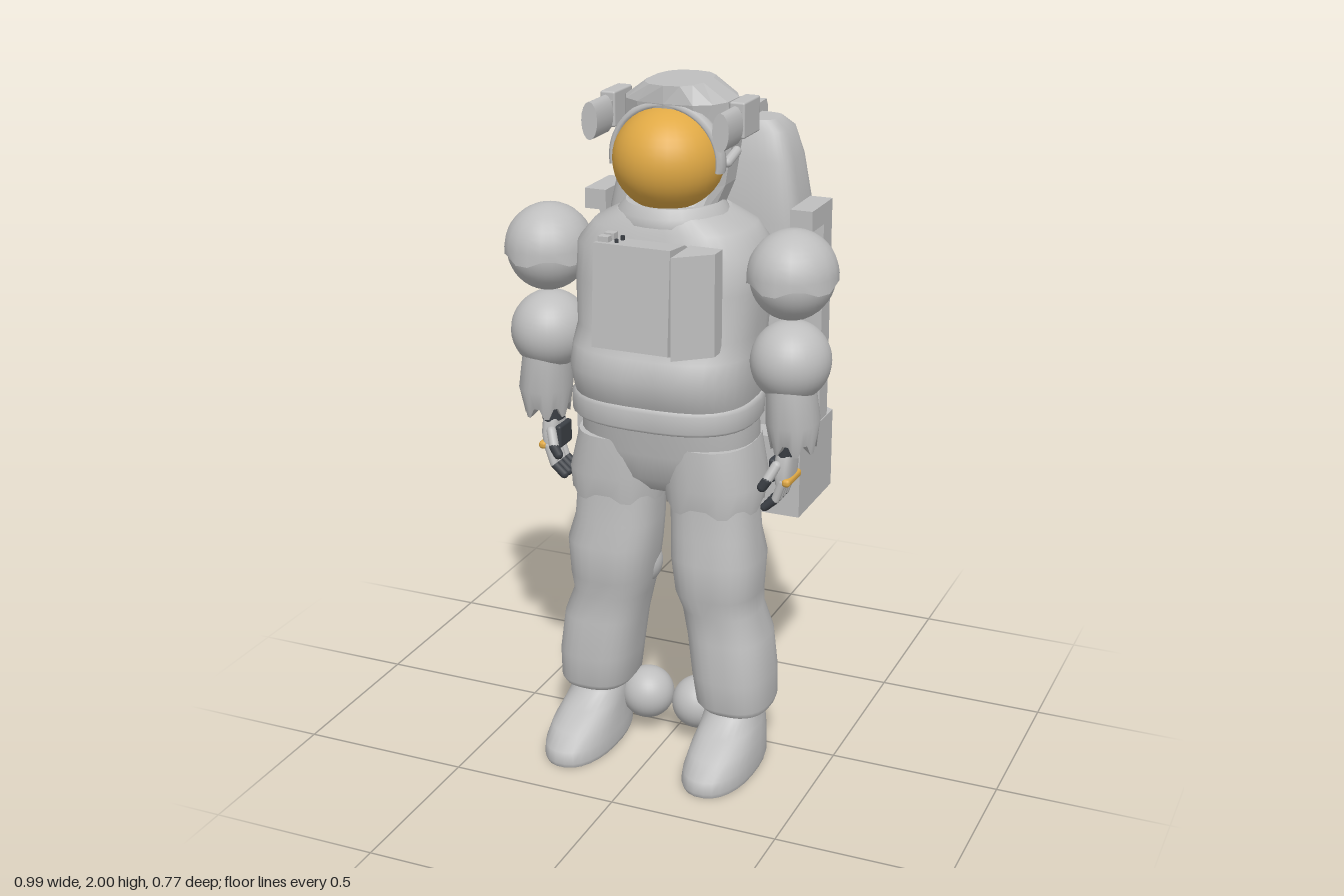
import * as THREE from 'three';
import { RoundedBoxGeometry } from 'three/addons/geometries/RoundedBoxGeometry.js';

const suit = new THREE.MeshStandardMaterial({ color: 0xbfbfbf, side: THREE.DoubleSide });
suit.name = 'suit grey';
const gold = new THREE.MeshStandardMaterial({ color: 0xe0a945 });
gold.name = 'visor gold';
const dark = new THREE.MeshStandardMaterial({ color: 0x3c4046 });
dark.name = 'glove dark';

export function createModel() {
  const root = new THREE.Group();
  root.name = 'astronaut';

  const add = (name, geo, mat = suit, x = 0, y = 0, z = 0) => {
    const m = new THREE.Mesh(geo, mat);
    m.name = name;
    m.position.set(x, y, z);
    root.add(m);
    return m;
  };

  // Stacks superellipse rings [y, x0, x1, z0, z1] from bottom to top, with flat caps
  function loft(rings, { s = 1, n = 2.5, seg = 28, flat = false, jag = 0 } = {}) {
    const pos = [], idx = [];
    const pw = (v) => Math.sign(v) * Math.abs(v) ** (2 / n);
    const ringPoints = ([y, x0, x1, z0, z1], bottom) => {
      for (let j = 0; j < seg; j++) {
        const a = ((j + 0.5) / seg) * Math.PI * 2;
        pos.push(s * (x0 + x1) / 2 + pw(Math.cos(a)) * Math.abs(x1 - x0) / 2,
          y - (bottom && j % 4 < 2 ? jag : 0),
          (z0 + z1) / 2 + pw(Math.sin(a)) * Math.abs(z1 - z0) / 2);
      }
    };
    rings.forEach((r, i) => ringPoints(r, i === 0));
    for (let i = 0; i < rings.length - 1; i++) {
      for (let j = 0; j < seg; j++) {
        const k = (j + 1) % seg, a = i * seg, b = a + seg;
        idx.push(a + j, b + j, a + k, b + j, b + k, a + k);
      }
    }
    [rings[0], rings[rings.length - 1]].forEach((r, top) => {
      const base = pos.length / 3;
      ringPoints(r, !top);
      pos.push(s * (r[1] + r[2]) / 2, r[0], (r[3] + r[4]) / 2);
      for (let j = 0; j < seg; j++) {
        const k = (j + 1) % seg;
        idx.push(base + seg, base + (top ? k : j), base + (top ? j : k));
      }
    });
    let g = new THREE.BufferGeometry();
    g.setAttribute('position', new THREE.Float32BufferAttribute(pos, 3));
    g.setIndex(idx);
    if (flat) g = g.toNonIndexed();
    g.computeVertexNormals();
    return g;
  }
  // Centred body ring: y, half width, front z, back z
  const body = (rows, opt) => loft(rows.map(([y, w, f, b]) => [y, -w, w, b, f]), opt);

  const polygon = (pts) => new THREE.Shape(pts.map((p) => new THREE.Vector2(...p)));
  // Extrudes a [z, y] outline between two x positions
  const sideExtrude = (pts, x0, x1) => new THREE.ExtrudeGeometry(polygon(pts), { depth: x1 - x0, bevelEnabled: false })
    .rotateY(-Math.PI / 2).translate(x1, 0, 0);
  // Extrudes an [x, z] plan between two heights
  const planExtrude = (pts, y0, y1) => new THREE.ExtrudeGeometry(polygon(pts), { depth: y1 - y0, bevelEnabled: false })
    .rotateX(Math.PI / 2).translate(0, y1, 0);
  const ball = (rx, ry, rz) => new THREE.SphereGeometry(1, 32, 22).scale(rx, ry, rz);

  // Capsule between two points
  function limb(name, a, b, r, mat) {
    const p = new THREE.Vector3(...a), q = new THREE.Vector3(...b), d = q.clone().sub(p);
    const m = add(name, new THREE.CapsuleGeometry(r, d.length(), 4, 10), mat);
    m.position.copy(p).add(q).multiplyScalar(0.5);
    m.quaternion.setFromUnitVectors(new THREE.Vector3(0, 1, 0), d.normalize());
  }

  // Helmet, visor and neck ring
  add('helmet', body([
    [1.64, 0.125, 0.16, -0.11], [1.72, 0.15, 0.11, -0.135], [1.86, 0.165, 0.095, -0.162],
    [1.95, 0.155, 0.115, -0.15], [2.0, 0.085, 0.115, -0.125],
  ], { n: 2.6, seg: 14, flat: true }));
  add('visor', ball(0.155, 0.147, 0.165), gold, 0, 1.795, 0.075);
  const brow = new THREE.TorusGeometry(0.158, 0.013, 8, 32, Math.PI * 1.1).rotateZ(-Math.PI * 0.05);
  add('visorRim', brow.scale(1, 0.96, 2), suit, 0, 1.795, 0.088);
  add('neckRing', body([
    [1.625, 0.165, 0.2, -0.12], [1.65, 0.155, 0.2, -0.115], [1.675, 0.135, 0.18, -0.11],
  ], { n: 2 }));

  // Torso, belt and pelvis
  add('torso', body([
    [1.08, 0.25, 0.25, -0.12], [1.14, 0.262, 0.285, -0.13], [1.21, 0.27, 0.303, -0.14],
    [1.27, 0.268, 0.285, -0.15], [1.32, 0.265, 0.25, -0.16], [1.45, 0.275, 0.235, -0.16],
    [1.55, 0.275, 0.215, -0.16], [1.61, 0.225, 0.2, -0.15], [1.65, 0.15, 0.18, -0.11],
  ], { n: 2.8, seg: 36 }));
  add('belt', body([
    [1.06, 0.265, 0.28, -0.125], [1.07, 0.272, 0.29, -0.13],
    [1.12, 0.274, 0.29, -0.13], [1.13, 0.265, 0.28, -0.125],
  ], { n: 2.6, seg: 36 }));
  add('pelvis', body([
    [0.84, 0.1, 0.16, -0.04], [0.89, 0.23, 0.21, -0.09], [0.97, 0.262, 0.23, -0.11], [1.09, 0.255, 0.25, -0.12],
  ], { seg: 36 }));

  // Chest control unit with side wedge and switches
  add('chestUnit', sideExtrude([
    [0.2, 1.58], [0.235, 1.6], [0.337, 1.61], [0.357, 1.32], [0.265, 1.29], [0.2, 1.3],
  ], -0.11, 0.115));
  add('chestWedge', planExtrude([[0.115, 0.2], [0.115, 0.335], [0.21, 0.255], [0.21, 0.2]], 1.3, 1.59));
  for (const z of [0.265, 0.305]) {
    add('chestSwitch', new THREE.BoxGeometry(0.03, 0.025, 0.025), suit, -0.09, 1.61, z);
    add('chestKnob', new THREE.CylinderGeometry(0.006, 0.006, 0.012, 8), dark, -0.055, 1.61, z);
  }

  // Life support pack
  add('packBody', body([
    [0.95, 0.27, -0.13, -0.335], [1.0, 0.292, -0.13, -0.362], [1.2, 0.3, -0.13, -0.368], [1.58, 0.295, -0.12, -0.36],
    [1.75, 0.262, -0.145, -0.352], [1.83, 0.235, -0.165, -0.338], [1.86, 0.2, -0.185, -0.31],
  ], { n: 5, seg: 40 }));
  add('packLid', sideExtrude([
    [-0.24, 1.885], [-0.34, 1.89], [-0.352, 1.87], [-0.381, 1.22], [-0.378, 1.2], [-0.3, 1.2], [-0.24, 1.7],
  ], -0.127, 0.127));
  add('packBase', planExtrude([
    [-0.355, -0.05], [0.355, -0.05], [0.355, -0.335], [0.285, -0.376], [-0.285, -0.376], [-0.355, -0.335],
  ], 0.73, 0.97));

  for (const s of [1, -1]) {
    // Pack rails
    add('packRail', sideExtrude([
      [-0.12, 1.63], [-0.29, 1.63], [-0.29, 0.96], [-0.22, 0.96], [-0.22, 1.57], [-0.12, 1.57],
    ], s > 0 ? 0.285 : -0.352, s > 0 ? 0.352 : -0.285));

    // Helmet lamps and latch
    add('lampBox', new RoundedBoxGeometry(0.045, 0.1, 0.12, 2, 0.006), suit, s * 0.192, 1.91, 0);
    add('lampArm', new THREE.BoxGeometry(0.03, 0.03, 0.05), suit, s * 0.19, 1.92, 0.07);
    add('lamp', new THREE.CylinderGeometry(0.024, 0.024, 0.105, 16).rotateX(Math.PI / 2).scale(1, 2.2, 1),
      suit, s * 0.192, 1.9, 0.125);
    limb('helmetLatch', [s * 0.162, 1.79, 0.05], [s * 0.165, 1.81, -0.01], 0.014, suit);

    // Legs with puffy knees and flared hems
    add('shorts', loft([
      [0.82, 0.285, 0.012, -0.05, 0.22], [0.88, 0.29, 0.005, -0.08, 0.23], [1.0, 0.262, 0, -0.09, 0.225],
    ], { s, jag: 0.02 }));
    add('leg', loft([
      [0.17, 0.325, 0.125, -0.042, 0.195], [0.19, 0.332, 0.11, -0.047, 0.21], [0.28, 0.332, 0.097, -0.047, 0.217],
      [0.4, 0.318, 0.08, -0.045, 0.21], [0.48, 0.288, 0.062, -0.04, 0.2], [0.54, 0.29, 0.045, -0.04, 0.222],
      [0.65, 0.298, 0.03, -0.04, 0.225], [0.72, 0.28, 0.025, -0.035, 0.205], [0.9, 0.265, 0.02, -0.03, 0.2],
    ], { s, n: 2.6 }));
    add('kneeJoint', ball(0.08, 0.08, 0.08), suit, s * 0.115, 0.56, 0.06);
    add('ankleJoint', ball(0.08, 0.08, 0.08), suit, s * 0.083, 0.12, 0.05);
    add('boot', loft([
      [0, 0.318, 0.125, -0.025, 0.38], [0.015, 0.322, 0.12, -0.03, 0.387], [0.05, 0.32, 0.125, -0.03, 0.382],
      [0.09, 0.315, 0.13, -0.028, 0.335], [0.125, 0.305, 0.135, -0.028, 0.26], [0.16, 0.298, 0.135, -0.025, 0.195],
      [0.21, 0.295, 0.14, -0.02, 0.18],
    ], { s, n: 2.3 }));

    // Ball-jointed arm with a torn-edged shoulder cover
    const sx = s * 0.37;
    add('shoulder', ball(0.118, 0.124, 0.132), suit, sx, 1.505, 0.083);
    const cover = new THREE.SphereGeometry(1, 20, 10, 0, Math.PI * 2, 0, Math.PI * 0.53);
    const p = cover.attributes.position;
    for (let i = 0; i < p.count; i++) {
      const col = i % 21;
      if (i >= 210 && col % 4 < 2) p.setXYZ(i, p.getX(i) * 1.02, p.getY(i) - 0.12, p.getZ(i) * 1.02);
    }
    cover.scale(0.126, 0.128, 0.138).computeVertexNormals();
    add('shoulderCover', cover, suit, sx, 1.505, 0.083);
    add('elbow', ball(0.113, 0.115, 0.122), suit, sx, 1.26, 0.085);
    add('forearm', loft([
      [1.03, 0.447, 0.322, 0.015, 0.16], [1.09, 0.457, 0.31, 0.005, 0.185], [1.2, 0.44, 0.31, 0.01, 0.185],
    ], { s, n: 2.2, jag: 0.03 }));
    add('wristSeal', loft([[0.985, 0.395, 0.335, 0.045, 0.13], [1.03, 0.405, 0.335, 0.04, 0.135]], { s, n: 2 }), dark);

    // Glove
    add('palm', loft([
      [0.9, 0.385, 0.34, 0.035, 0.135], [0.95, 0.39, 0.335, 0.035, 0.14], [1.0, 0.39, 0.34, 0.05, 0.125],
    ], { s, n: 3 }));
    add('palmPad', new RoundedBoxGeometry(0.02, 0.07, 0.08, 2, 0.008), dark, s * 0.334, 0.94, 0.088);
    add('knuckleBand', new RoundedBoxGeometry(0.025, 0.024, 0.108, 2, 0.01), gold, s * 0.38, 0.912, 0.088);
    for (let i = 0; i < 4; i++) {
      const z = 0.049 + i * 0.026;
      limb('finger', [s * 0.366, 0.91, z], [s * 0.347, 0.855, z], 0.0125, suit);
      limb('fingerTip', [s * 0.345, 0.853, z], [s * 0.315, 0.827, z], 0.0125, dark);
    }
    limb('thumb', [s * 0.35, 0.96, 0.135], [s * 0.333, 0.925, 0.155], 0.015, suit);
    limb('thumbTip', [s * 0.332, 0.922, 0.157], [s * 0.318, 0.9, 0.158], 0.0145, dark);
  }
  return root;
}
